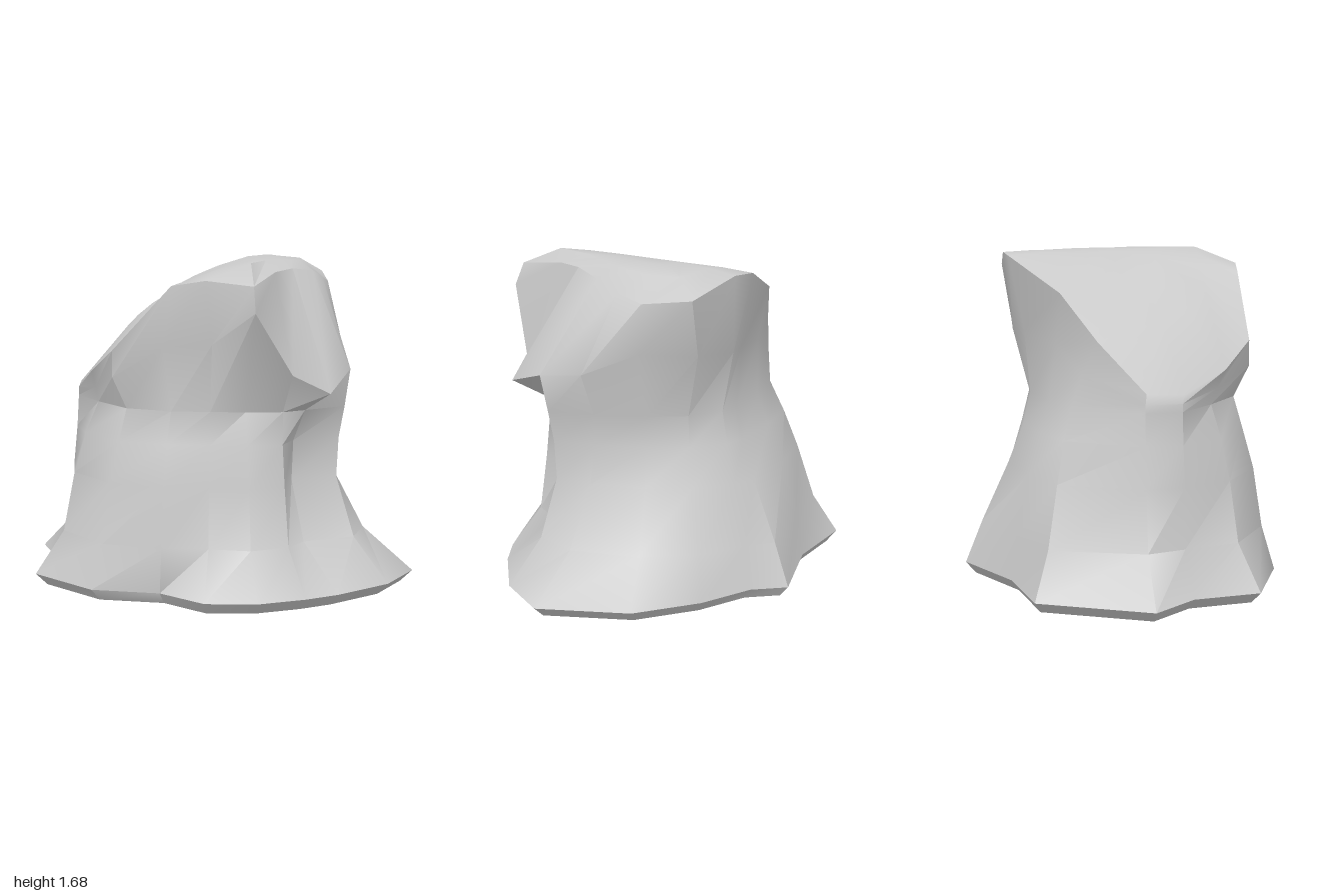
import * as THREE from 'three';
import { toCreasedNormals } from 'three/addons/utils/BufferGeometryUtils.js';

// Directions of the ridges and grooves around the rock, in degrees from +x towards +z
const ANGLES = [8, 25, 45, 57, 74, 92, 112, 135, 160, 180, 194, 228, 250, 280, 292, 315, 340];

// Trunk sections: height, then the radius in every direction
const TRUNK = [
  [0.08, 1.01, 0.95, 0.86, 0.83, 0.82, 0.80, 0.69, 0.85, 0.99, 0.89, 1.03, 0.96, 0.74, 0.82, 0.71, 0.74, 0.85],
  [0.30, 0.75, 0.76, 0.62, 0.67, 0.67, 0.62, 0.67, 0.78, 0.84, 0.79, 0.82, 0.82, 0.70, 0.73, 0.66, 0.66, 0.68],
  [0.60, 0.59, 0.66, 0.53, 0.63, 0.63, 0.59, 0.65, 0.73, 0.78, 0.78, 0.77, 0.72, 0.62, 0.59, 0.57, 0.55, 0.53],
  [0.80, 0.56, 0.67, 0.54, 0.61, 0.59, 0.56, 0.61, 0.67, 0.72, 0.76, 0.75, 0.64, 0.54, 0.51, 0.51, 0.49, 0.48],
  [0.96, 0.56, 0.70, 0.62, 0.61, 0.55, 0.53, 0.56, 0.62, 0.65, 0.75, 0.74, 0.56, 0.48, 0.47, 0.47, 0.47, 0.48],
];

// Overhang of the head, one corner per direction
const JAW = [
  [0.64, 1.18, 0.09], [0.66, 1.15, 0.32], [0.56, 1.06, 0.57], [0.38, 1.15, 0.61], [0.21, 1.46, 0.80],
  [0.00, 1.30, 0.66], [-0.24, 1.28, 0.59], [-0.50, 1.12, 0.49], [-0.62, 1.04, 0.25], [-0.75, 1.00, 0.00],
  [-0.72, 1.00, -0.18], [-0.42, 1.11, -0.38], [-0.20, 1.24, -0.43], [0.09, 1.28, -0.49], [0.21, 1.28, -0.51],
  [0.43, 1.30, -0.44], [0.55, 1.30, -0.18],
];

// Rim of the sloping top: low on one side, a high crest on the other
const RIM = [
  [0.52, 1.58, -0.05], [0.47, 1.62, 0.10], [0.37, 1.64, 0.28], [0.29, 1.63, 0.44], [0.20, 1.58, 0.75],
  [-0.03, 1.60, 0.66], [-0.20, 1.57, 0.58], [-0.50, 1.25, 0.49], [-0.63, 1.13, 0.29], [-0.73, 1.04, 0.02],
  [-0.71, 1.05, -0.17], [-0.50, 1.28, -0.33], [-0.29, 1.50, -0.44], [0.12, 1.66, -0.56], [0.26, 1.67, -0.54],
  [0.52, 1.59, -0.46], [0.55, 1.55, -0.20],
];

function ring([y, ...radii]) {
  return radii.map((r, i) => {
    const a = THREE.MathUtils.degToRad(ANGLES[i]);
    return new THREE.Vector3(r * Math.cos(a), y, r * Math.sin(a));
  });
}

// Top surface, arched across x
function topRing(scale) {
  return RIM.map(([rx, , rz]) => {
    const x = 0.12 + (rx - 0.12) * scale;
    return new THREE.Vector3(x, 1.68 - 0.65 * (x - 0.25) ** 2, rz * scale);
  });
}

// Skin closed rings from bottom to top and close both ends with a fan
function loft(rings, bottom, top) {
  const n = rings[0].length;
  const points = [...rings.flat(), bottom, top];
  const index = [];
  const last = (rings.length - 1) * n;
  for (let i = 0; i < n; i++) {
    const j = (i + 1) % n;
    for (let k = 0; k < last; k += n) {
      index.push(k + i, k + n + i, k + j, k + j, k + n + i, k + n + j);
    }
    index.push(last + n, i, j, last + n + 1, last + j, last + i);
  }
  const geometry = new THREE.BufferGeometry().setFromPoints(points);
  geometry.setIndex(index);
  return geometry;
}

export function createModel() {
  const group = new THREE.Group();
  group.name = 'rock';

  // Bevelled underside, flared trunk with a pinched neck, overhanging head, sloped top
  const [, ...baseRadii] = TRUNK[0];
  const underside = [0.02, ...baseRadii.map((r) => r * 0.94)];
  const rings = [
    ...[underside, ...TRUNK].map(ring),
    ...[JAW, RIM].map((corners) => corners.map((p) => new THREE.Vector3(...p))),
    topRing(0.7),
    topRing(0.35),
  ];
  const geometry = loft(rings, new THREE.Vector3(0, 0, 0), new THREE.Vector3(0.12, 1.67, 0));
  const boulder = new THREE.Mesh(
    toCreasedNormals(geometry, 0.7),
    new THREE.MeshStandardMaterial({ color: 0xcccccc }),
  );
  boulder.name = 'boulder';
  group.add(boulder);
  return group;
}
